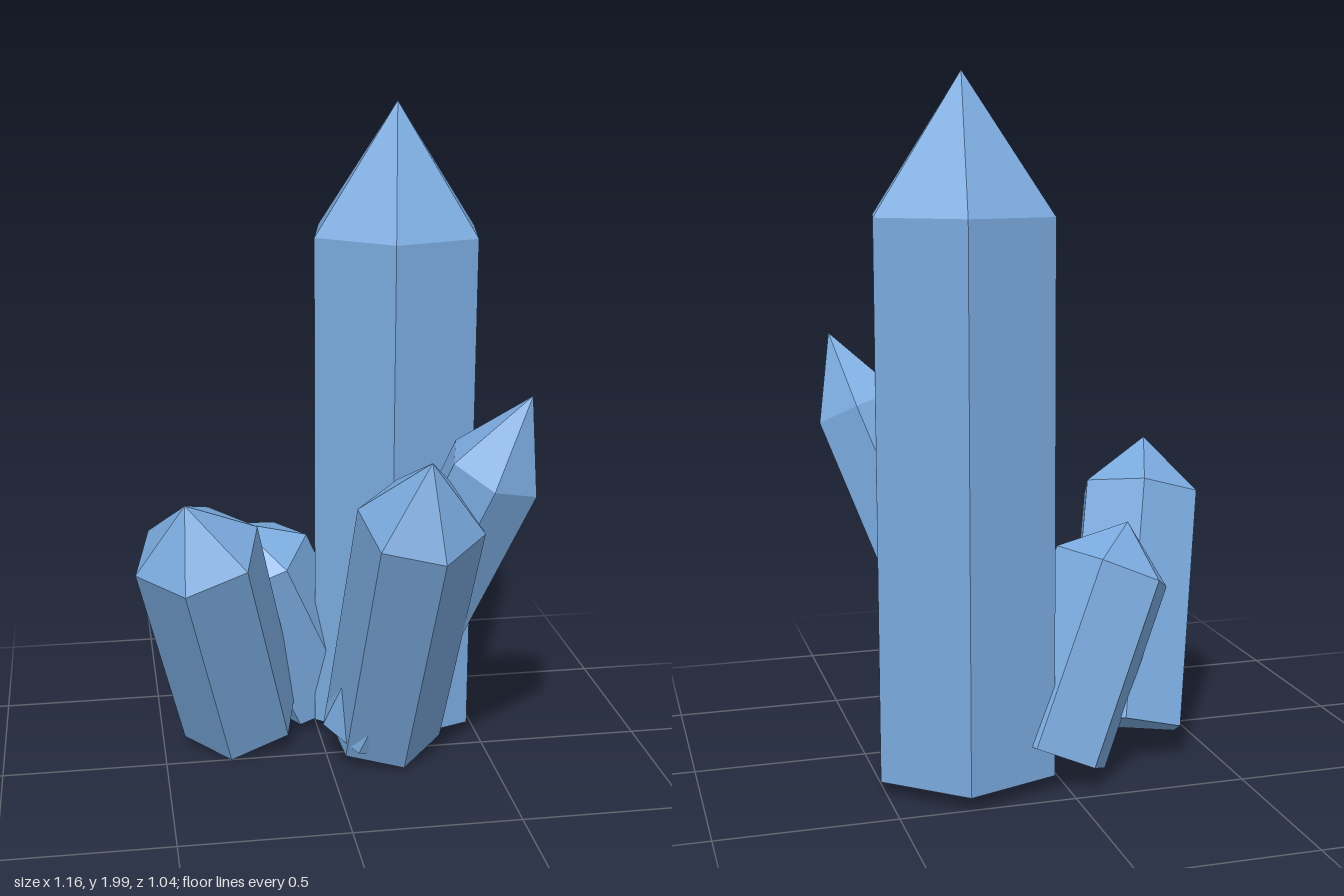
import * as THREE from 'three';
import { mergeGeometries } from 'three/addons/utils/BufferGeometryUtils.js';

const crystalBlue = new THREE.MeshStandardMaterial({ color: 0x7aaade });
crystalBlue.name = 'crystalBlue';

const SIDES = 6;
const SHAFT = 0.8; // share of the length below the shoulder

// Six-sided pointed crystal from base centre to apex; corner is one shoulder corner
function crystal(name, base, apex, corner) {
  const foot = new THREE.Vector3(...base);
  const axis = new THREE.Vector3(...apex).sub(foot);
  const length = axis.length();
  const shoulder = foot.clone().addScaledVector(axis, SHAFT);
  axis.normalize();

  const out = new THREE.Vector3(...corner).sub(shoulder).projectOnPlane(axis);
  const radius = out.length();
  out.normalize();

  const shaftLength = length * SHAFT;
  const tipLength = length - shaftLength;
  const shaft = new THREE.CylinderGeometry(radius, radius, shaftLength, SIDES);
  shaft.translate(0, shaftLength / 2, 0);
  const tip = new THREE.ConeGeometry(radius, tipLength, SIDES, 1, true);
  tip.translate(0, shaftLength + tipLength / 2, 0);

  // Flat facets
  const geometry = mergeGeometries([shaft.toNonIndexed(), tip.toNonIndexed()]);
  geometry.computeVertexNormals();

  const side = new THREE.Vector3().crossVectors(axis, out);
  geometry.applyMatrix4(new THREE.Matrix4().makeBasis(side, axis, out).setPosition(foot));

  const mesh = new THREE.Mesh(geometry, crystalBlue);
  mesh.name = name;
  return mesh;
}

export function createModel() {
  const group = new THREE.Group();
  group.name = 'crystalCluster';
  group.add(
    crystal('mainCrystal', [0.253, 0.05, -0.245], [0.253, 2.0, -0.245], [0.2, 1.61, 0.031]),
    crystal('leftFrontCrystal', [-0.251, 0.085, -0.169], [-0.434, 0.897, 0.156], [-0.58, 0.68, 0.125]),
    crystal('leftBackCrystal', [0.024, 0.088, -0.322], [-0.251, 0.714, -0.208], [-0.03, 0.66, -0.22]),
    crystal('frontCrystal', [0.181, 0.091, -0.01], [0.225, 1.081, 0.446], [0.255, 0.81, 0.518]),
    crystal('rightFrontCrystal', [0.115, 0.1, 0.008], [0.527, 1.235, 0.354], [0.578, 0.975, 0.236]),
  );
  return group;
}
